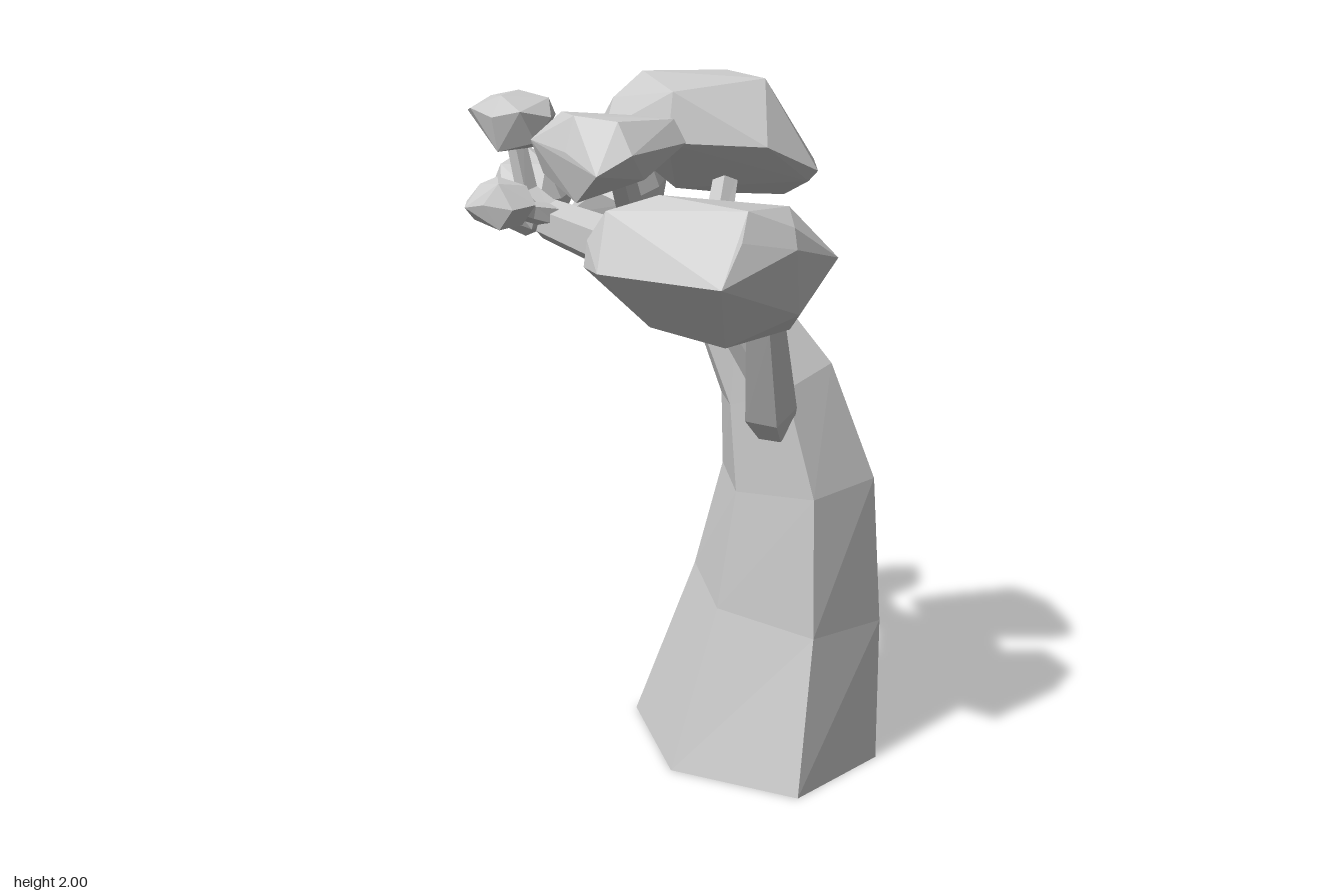
import * as THREE from 'three';
import { ConvexGeometry } from 'three/addons/geometries/ConvexGeometry.js';

const material = new THREE.MeshStandardMaterial({ color: 0xcccccc, flatShading: true, side: THREE.DoubleSide });
const vec = (p) => new THREE.Vector3(p[0], p[1], p[2]);

function addMesh(group, name, geometry) {
  const mesh = new THREE.Mesh(geometry, material);
  mesh.name = name;
  group.add(mesh);
}

// Faceted limb through rings of [x, y, z, radius, skew], open at its root and closed at its tip
function limb(rings, sides, startDir = null) {
  const centres = rings.map(vec);
  const last = centres.length - 1;
  const chord = centres[last].clone().sub(centres[0]);
  const size = chord.toArray().map(Math.abs);
  const ref = new THREE.Vector3().setComponent(size.indexOf(Math.min(...size)), 1);
  const pos = [], index = [];
  centres.forEach((c, j) => {
    const t = centres[Math.min(j + 1, last)].clone().sub(centres[Math.max(j - 1, 0)]).normalize();
    if (j === 0 && startDir) t.copy(startDir);
    const n = ref.clone().addScaledVector(t, -ref.dot(t)).normalize();
    const b = t.clone().cross(n);
    const [, , , r, skew = 0] = rings[j];
    n.addScaledVector(b, skew);
    for (let k = 0; k < sides; k++) {
      const a = (k / sides) * Math.PI * 2;
      const p = c.clone().addScaledVector(b, r * Math.cos(a)).addScaledVector(n, r * Math.sin(a));
      pos.push(p.x, p.y, p.z);
    }
  });
  for (let j = 0; j < last; j++) {
    for (let k = 0; k < sides; k++) {
      const p = j * sides + k, q = j * sides + (k + 1) % sides;
      index.push(p, p + sides, q, q, p + sides, q + sides);
    }
  }
  const top = last * sides;
  for (let k = 1; k < sides - 1; k++) index.push(top, top + k + 1, top + k);
  const g = new THREE.BufferGeometry();
  g.setAttribute('position', new THREE.Float32BufferAttribute(pos, 3));
  g.setIndex(index);
  g.computeVertexNormals();
  return g;
}

export function createModel() {
  const tree = new THREE.Group();
  tree.name = 'tree';

  // Leaning six-sided hollow trunk that bends over into the long bough
  addMesh(tree, 'trunk', limb([
    [0.265, 0, -0.215, 0.397, 0.24], [0.353, 0.47, -0.24, 0.3, 0.15], [0.39, 0.86, -0.215, 0.235, 0.05],
    [0.335, 1.14, -0.17, 0.178], [0.22, 1.33, -0.135, 0.137], [0.02, 1.43, -0.12, 0.102],
    [-0.18, 1.505, -0.11, 0.076], [-0.37, 1.56, -0.11, 0.062],
  ], 6, new THREE.Vector3(0, 1, 0)));

  // Branches carrying the foliage
  const branches = {
    lowerFrontBranch: [[0.385, 1.03, -0.04, 0.055], [0.39, 1.1, 0.02, 0.078], [0.43, 1.38, 0.17, 0.056], [0.42, 1.5, 0.24, 0.05]],
    crownBranch: [[0.37, 1.2, 0.03, 0.045], [0.29, 1.38, 0.1, 0.042], [0.26, 1.54, 0.11, 0.04], [0.24, 1.74, -0.02, 0.035]],
    upperFrontBranch: [[0, 1.45, -0.08, 0.045], [0, 1.47, 0.05, 0.045], [0.01, 1.62, 0.1, 0.04], [0.04, 1.78, 0.24, 0.035]],
    backBranch: [[-0.06, 1.5, -0.13, 0.04], [-0.16, 1.53, -0.24, 0.035], [-0.24, 1.6, -0.33, 0.03]],
    outerBackTwig: [[-0.34, 1.55, -0.11, 0.04], [-0.43, 1.57, -0.18, 0.03], [-0.52, 1.6, -0.26, 0.025]],
    outerTopTwig: [[-0.34, 1.56, -0.11, 0.045], [-0.43, 1.64, -0.1, 0.035], [-0.46, 1.82, -0.08, 0.03]],
    outerFrontTwig: [[-0.34, 1.57, -0.1, 0.04], [-0.38, 1.59, -0.02, 0.03], [-0.4, 1.62, 0.08, 0.025]],
  };
  for (const [name, rings] of Object.entries(branches)) addMesh(tree, name, limb(rings, 5));

  // Faceted foliage clumps: top, rim, then underside corners
  const foliage = {
    crownFoliage: [
      [-0.02, 2, -0.03], [0.17, 2, -0.17], [0.35, 1.99, -0.01], [0.16, 1.96, 0.16], [-0.08, 1.93, 0.03],
      [-0.16, 1.85, -0.04], [-0.06, 1.85, 0.12], [0.16, 1.83, 0.19], [0.4, 1.82, 0.09], [0.49, 1.75, -0.05],
      [0.44, 1.77, -0.15], [0.31, 1.82, -0.28], [0.17, 1.8, -0.37], [0.2, 1.92, -0.25], [-0.04, 1.82, -0.18],
      [0.1, 1.69, 0.01], [0.46, 1.72, -0.06], [0.36, 1.67, -0.14], [0.18, 1.66, -0.17],
    ],
    lowerFrontFoliage: [
      [0.1, 1.68, 0.43], [0.22, 1.72, 0.37], [0.48, 1.7, 0.41], [0.2, 1.69, 0.2], [0.46, 1.67, 0.08],
      [0.56, 1.65, 0.3], [0.49, 1.63, 0.47], [0.04, 1.6, 0.42], [0.07, 1.61, 0.25],
      [0.03, 1.53, 0.42], [0.11, 1.53, 0.5], [0.32, 1.53, 0.51], [0.48, 1.53, 0.57], [0.58, 1.6, 0.33],
      [0.61, 1.55, 0.11], [0.42, 1.53, 0.06], [0.12, 1.52, 0.17],
      [0.2, 1.38, 0.38], [0.42, 1.35, 0.4], [0.56, 1.42, 0.25], [0.5, 1.36, 0.16], [0.25, 1.41, 0.15],
    ],
    upperFrontFoliage: [
      [-0.1, 1.91, 0.29], [-0.01, 1.91, 0.39], [0.12, 1.9, 0.4], [0.21, 1.9, 0.26], [0.04, 1.9, 0.2],
      [-0.16, 1.84, 0.35], [-0.14, 1.84, 0.23], [-0.02, 1.84, 0.17], [0.11, 1.84, 0.17], [0.24, 1.84, 0.25],
      [0.17, 1.82, 0.42], [-0.02, 1.82, 0.42],
      [0.1, 1.77, 0.48], [-0.14, 1.75, 0.32], [0, 1.69, 0.4], [0.16, 1.75, 0.33], [0.04, 1.76, 0.22],
    ],
    backFoliage: [
      [-0.29, 1.72, -0.46], [-0.2, 1.74, -0.48], [-0.15, 1.74, -0.33], [-0.24, 1.72, -0.28],
      [-0.33, 1.6, -0.47], [-0.17, 1.65, -0.51], [-0.12, 1.64, -0.35], [-0.17, 1.6, -0.21], [-0.27, 1.63, -0.23],
      [-0.4, 1.55, -0.29], [-0.37, 1.46, -0.33], [-0.26, 1.43, -0.4], [-0.18, 1.5, -0.47], [-0.2, 1.48, -0.26],
      [-0.35, 1.49, -0.43], [-0.36, 1.63, -0.31], [-0.13, 1.57, -0.36],
    ],
    outerBackFoliage: [
      [-0.56, 1.74, -0.33], [-0.5, 1.71, -0.39], [-0.45, 1.7, -0.25], [-0.58, 1.7, -0.2], [-0.62, 1.68, -0.27],
      [-0.66, 1.55, -0.22], [-0.64, 1.64, -0.3], [-0.51, 1.6, -0.41], [-0.41, 1.62, -0.36], [-0.4, 1.6, -0.25],
      [-0.43, 1.6, -0.17], [-0.55, 1.62, -0.15],
      [-0.65, 1.52, -0.25], [-0.52, 1.48, -0.24], [-0.44, 1.52, -0.33], [-0.47, 1.51, -0.19], [-0.56, 1.51, -0.36],
    ],
    outerTopFoliage: [
      [-0.56, 1.91, -0.12], [-0.46, 1.93, -0.11], [-0.36, 1.91, -0.11], [-0.46, 1.92, -0.01],
      [-0.61, 1.87, -0.07], [-0.55, 1.86, -0.16], [-0.47, 1.88, -0.18], [-0.36, 1.86, -0.15], [-0.32, 1.86, -0.05],
      [-0.37, 1.88, 0.04], [-0.47, 1.86, 0.03], [-0.57, 1.88, -0.02], [-0.58, 1.83, -0.08],
      [-0.5, 1.78, -0.13], [-0.39, 1.77, -0.11], [-0.35, 1.79, -0.01], [-0.47, 1.76, 0],
    ],
    outerFrontFoliage: [
      [-0.47, 1.68, 0.1], [-0.43, 1.7, 0.07], [-0.33, 1.68, 0.08], [-0.38, 1.69, 0.15],
      [-0.51, 1.63, 0.11], [-0.48, 1.63, 0.05], [-0.41, 1.64, 0.03], [-0.33, 1.63, 0.04], [-0.29, 1.63, 0.1],
      [-0.33, 1.62, 0.16], [-0.42, 1.63, 0.17], [-0.48, 1.62, 0.17],
      [-0.48, 1.58, 0.12], [-0.42, 1.57, 0.06], [-0.34, 1.57, 0.09], [-0.38, 1.56, 0.15],
    ],
  };
  for (const [name, points] of Object.entries(foliage)) addMesh(tree, name, new ConvexGeometry(points.map(vec)));

  return tree;
}
